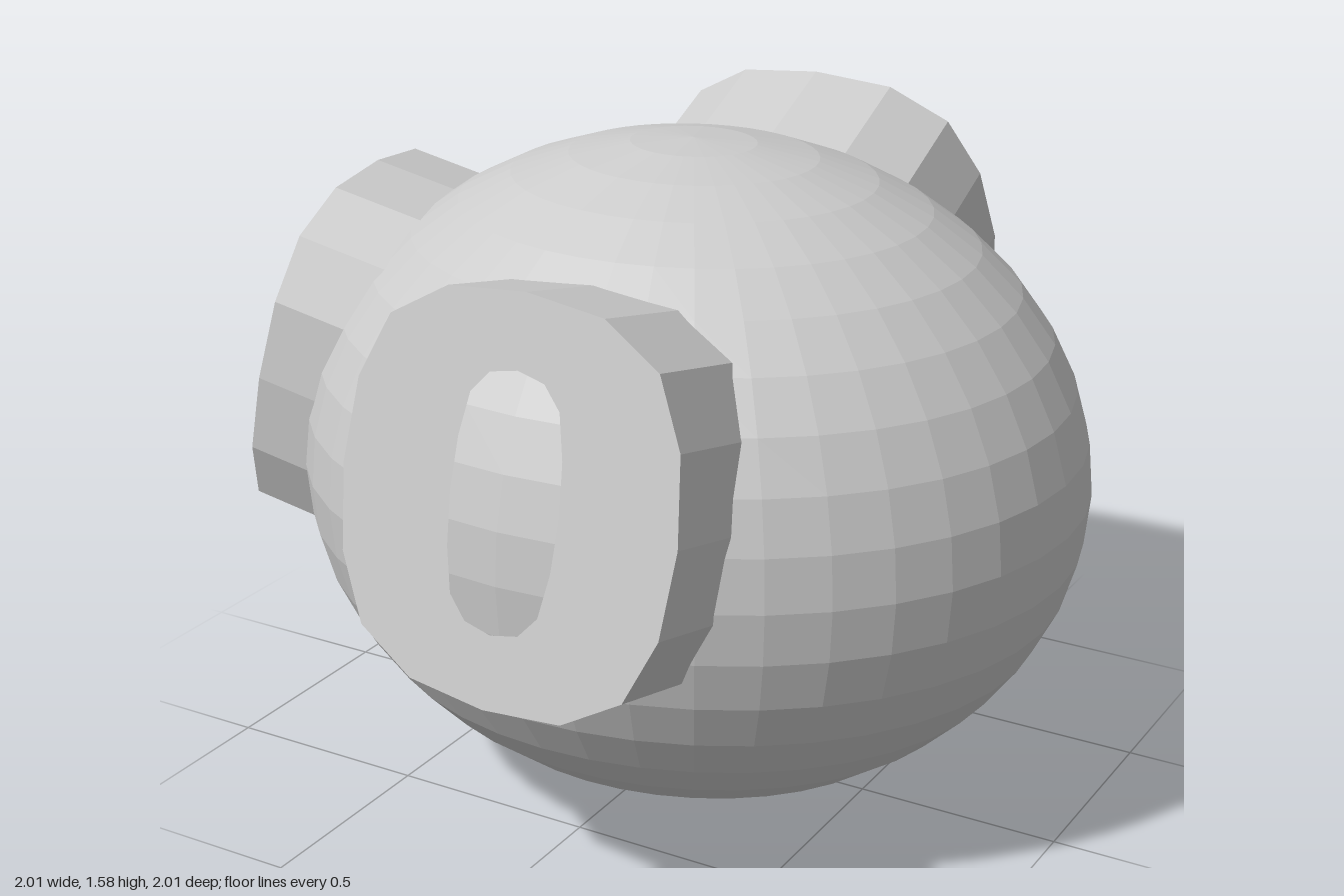
import * as THREE from 'three';

const material = new THREE.MeshStandardMaterial({ color: 0xcccccc, flatShading: true });

// Mirrors a quarter outline (top to side) into a closed loop of points.
function mirrorQuarter(quarter) {
  const right = [...quarter, ...quarter.slice(0, -1).reverse().map(([x, y]) => [x, -y])];
  const left = right.slice(1, -1).reverse().map(([x, y]) => [-x, y]);
  return [...right, ...left].map(([x, y]) => new THREE.Vector2(x, y));
}

const OUTER = [[0, 0.45], [0.2, 0.43], [0.345, 0.345], [0.415, 0.195], [0.435, 0]];
const HOLE = [[0, 0.285], [0.07, 0.27], [0.115, 0.22], [0.135, 0.12], [0.142, 0]];

// Thick rounded ring whose outer face lies at z = 0 and which runs inward.
function ringGeometry(depth) {
  const shape = new THREE.Shape(mirrorQuarter(OUTER));
  shape.holes.push(new THREE.Path(mirrorQuarter(HOLE)));
  const geometry = new THREE.ExtrudeGeometry(shape, { depth, bevelEnabled: false });
  return geometry.translate(0, 0, -depth);
}

export function createModel() {
  const model = new THREE.Group();

  // Slightly flattened body
  const body = new THREE.Mesh(new THREE.SphereGeometry(1, 40, 20), material);
  body.name = 'body';
  body.scale.set(0.96, 0.79, 0.85);
  body.position.set(0.04, 0.79, 0.03);
  model.add(body);

  // Three raised rings: face centre, outward direction, width and height scale
  const rings = [
    ['frontRing', [0.085, 1.0, 0.905], [-0.06, 0.215, 1], 1, 1],
    ['rightRing', [-0.885, 1.0, 0.145], [-1, 0.24, 0.11], 0.955, 1],
    ['backRing', [-0.013, 1.17, -0.835], [-0.04, 0.4, -1], 1, 0.985],
  ];
  for (const [name, centre, normal, width, height] of rings) {
    const ring = new THREE.Mesh(ringGeometry(0.45), material);
    ring.name = name;
    ring.position.set(...centre);
    ring.lookAt(new THREE.Vector3(...centre).add(new THREE.Vector3(...normal)));
    ring.scale.set(width, height, 1);
    model.add(ring);
  }

  return model;
}
